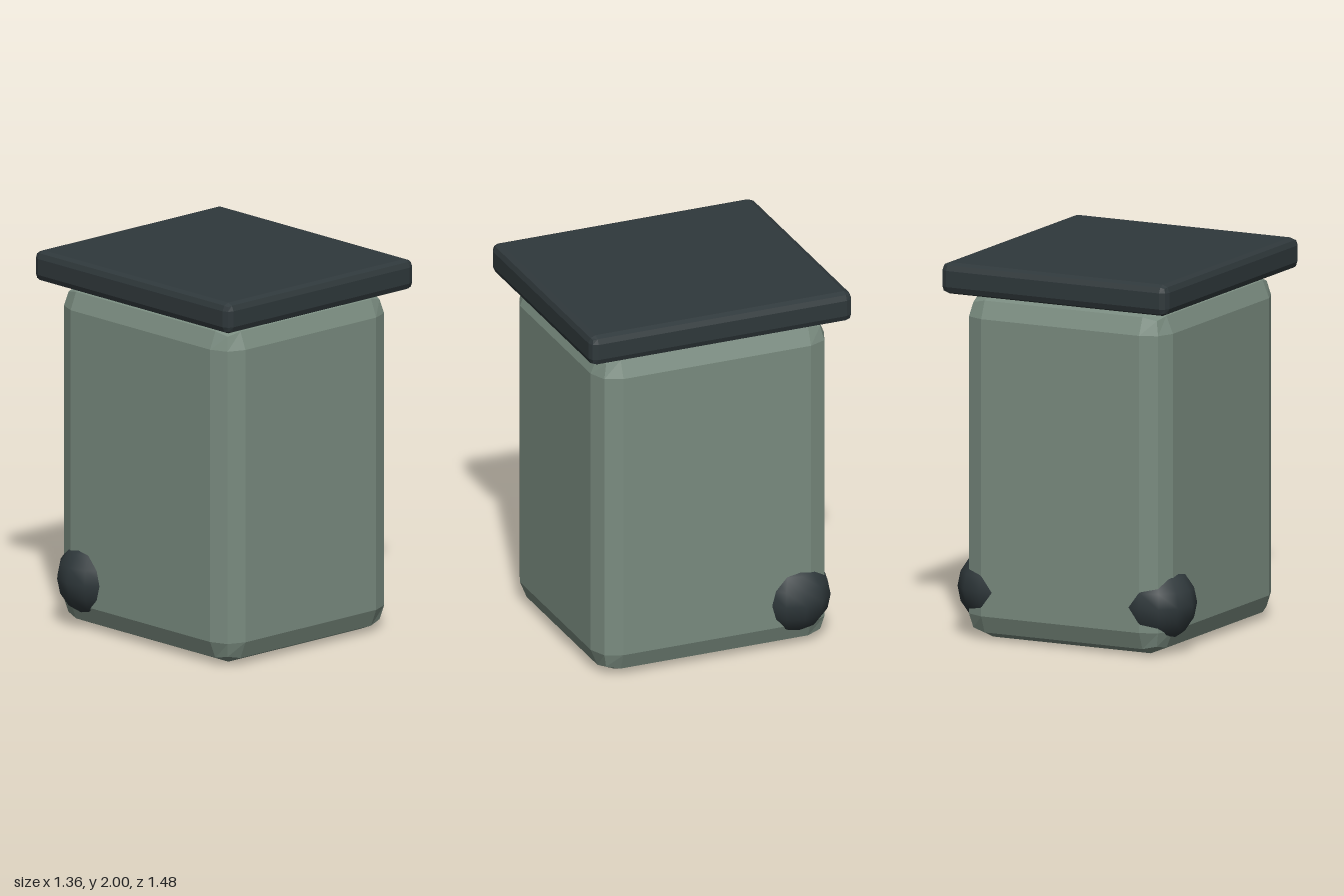
import * as THREE from 'three';
import { RoundedBoxGeometry } from 'three/addons/geometries/RoundedBoxGeometry.js';

export function createModel() {
  const bin = new THREE.Group();
  bin.name = 'wheeledBin';

  const green = new THREE.MeshStandardMaterial({ color: 0x7a8c80, flatShading: true });
  const dark = new THREE.MeshStandardMaterial({ color: 0x2f383b, flatShading: true });
  const rubber = new THREE.MeshStandardMaterial({ color: 0x2f383b });

  const add = (name, geometry, material, x, y, z) => {
    const mesh = new THREE.Mesh(geometry, material);
    mesh.name = name;
    mesh.position.set(x, y, z);
    bin.add(mesh);
  };

  // Bevelled container
  add('body', new RoundedBoxGeometry(1.19, 1.835, 1.32, 1, 0.13), green, 0, 0.9175, 0);

  // Overhanging lid
  add('lid', new RoundedBoxGeometry(1.334, 0.166, 1.484, 1, 0.04), dark, 0, 1.917, 0);

  // Round wheels sunk into the lower back corners
  const wheel = new THREE.SphereGeometry(0.208, 12, 8);
  add('leftWheel', wheel, rubber, 0.47, 0.26, -0.47);
  add('rightWheel', wheel, rubber, -0.47, 0.26, -0.47);

  return bin;
}
